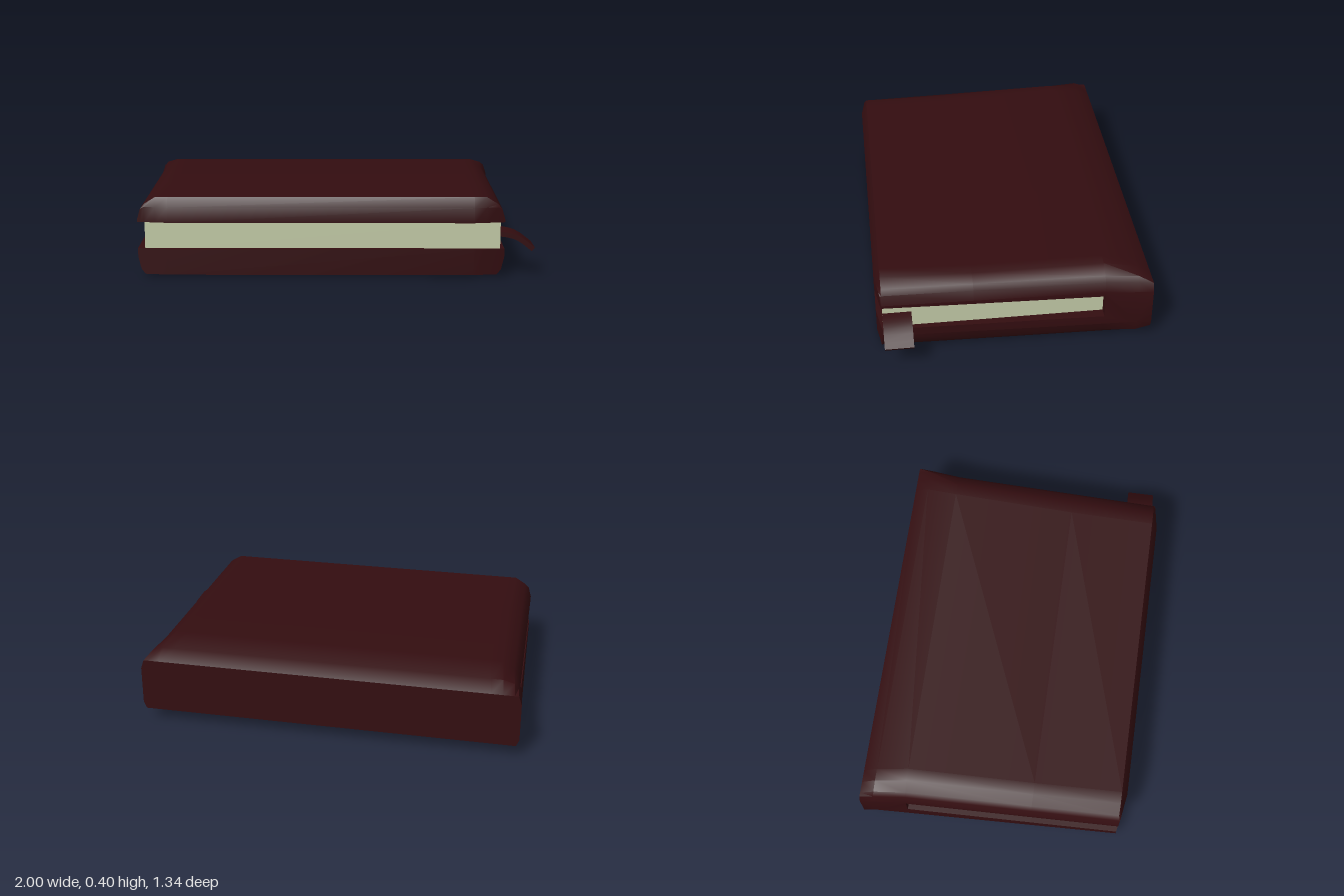
import * as THREE from 'three';
import { toCreasedNormals } from 'three/addons/utils/BufferGeometryUtils.js';

const leather = new THREE.MeshStandardMaterial({ color: 0x330d10 });
const paper = new THREE.MeshStandardMaterial({ color: 0xc4cca8 });

const CENTRE_X = -0.047;
const { lerp, clamp } = THREE.MathUtils;

// Half width of the cover: it flares towards the spine.
function halfWidth(z) {
  return z < -0.44 ? lerp(0.952, 0.927, (z + 0.67) / 0.23) : lerp(0.927, 0.897, (z + 0.44) / 1.11);
}

// Extrude a (z, y) outline along x.
function extrudeAlongX(points, depth, steps) {
  const shape = new THREE.Shape(points.map(([z, y]) => new THREE.Vector2(-z, y)));
  return new THREE.ExtrudeGeometry(shape, { depth, steps, bevelEnabled: false }).rotateY(Math.PI / 2);
}

function makeCover() {
  // C-shaped section: bottom board, rounded spine, top board, page slot
  const profile = [
    [0.67, 0.015], [0.2, 0.012], [-0.44, 0.003], [-0.6, 0.025], [-0.67, 0.065],
    [-0.67, 0.335], [-0.6, 0.38], [-0.44, 0.4], [0.2, 0.388], [0.64, 0.398],
    [0.67, 0.35], [0.67, 0.275], [0.2, 0.27], [-0.44, 0.265],
    [-0.44, 0.138], [0.2, 0.14], [0.67, 0.143],
  ];
  // Rounding at each end: inset from the edge, lowest y, highest y, front limit
  const ends = [
    [0, 0.1, 0.29, 0.645],
    [0.015, 0.04, 0.34, 0.648],
    [0.035, 0.014, 0.364, 0.652],
    [0.09, 0, 0.4, 0.66],
    [0.15, 0, 0.4, 0.67],
  ];
  const steps = ends.length * 2 - 1;
  const geometry = extrudeAlongX(profile, steps, steps);
  const pos = geometry.attributes.position;
  for (let i = 0; i < pos.count; i++) {
    const station = Math.round(pos.getX(i));
    const side = station < ends.length ? -1 : 1;
    const [inset, low, high, front] = ends[Math.min(station, steps - station)];
    const z = Math.min(pos.getZ(i), front);
    pos.setXYZ(i, CENTRE_X + side * (halfWidth(z) - inset), clamp(pos.getY(i), low, high), z);
  }
  return toCreasedNormals(geometry, 0.6);
}

function makeRibbon() {
  // Bent strip hanging out of the pages
  const curve = new THREE.CatmullRomCurve3([
    [0.76, 0.215], [0.85, 0.212], [0.92, 0.192], [0.993, 0.138],
  ].map(([x, y]) => new THREE.Vector3(x, y, 0)));
  const upper = [], lower = [];
  for (let i = 0; i <= 8; i++) {
    const p = curve.getPoint(i / 8), t = curve.getTangent(i / 8);
    upper.push(new THREE.Vector2(p.x - t.y * 0.012, p.y + t.x * 0.012));
    lower.unshift(new THREE.Vector2(p.x + t.y * 0.012, p.y - t.x * 0.012));
  }
  const geometry = new THREE.ExtrudeGeometry(new THREE.Shape([...lower, ...upper]), { depth: 0.14, bevelEnabled: false });
  return toCreasedNormals(geometry.translate(0, 0, 0.5), 0.6);
}

export function createModel() {
  const book = new THREE.Group();
  book.name = 'book';
  const add = (name, geometry, material) => {
    const mesh = new THREE.Mesh(geometry, material);
    mesh.name = name;
    book.add(mesh);
    return mesh;
  };

  add('cover', makeCover(), leather);
  // Page block, its top and bottom tucked into the boards
  add('pages', new THREE.BoxGeometry(1.74, 0.15, 1.12), paper).position.set(-0.04, 0.205, 0.08);
  add('bookmarkRibbon', makeRibbon(), leather);
  return book;
}
